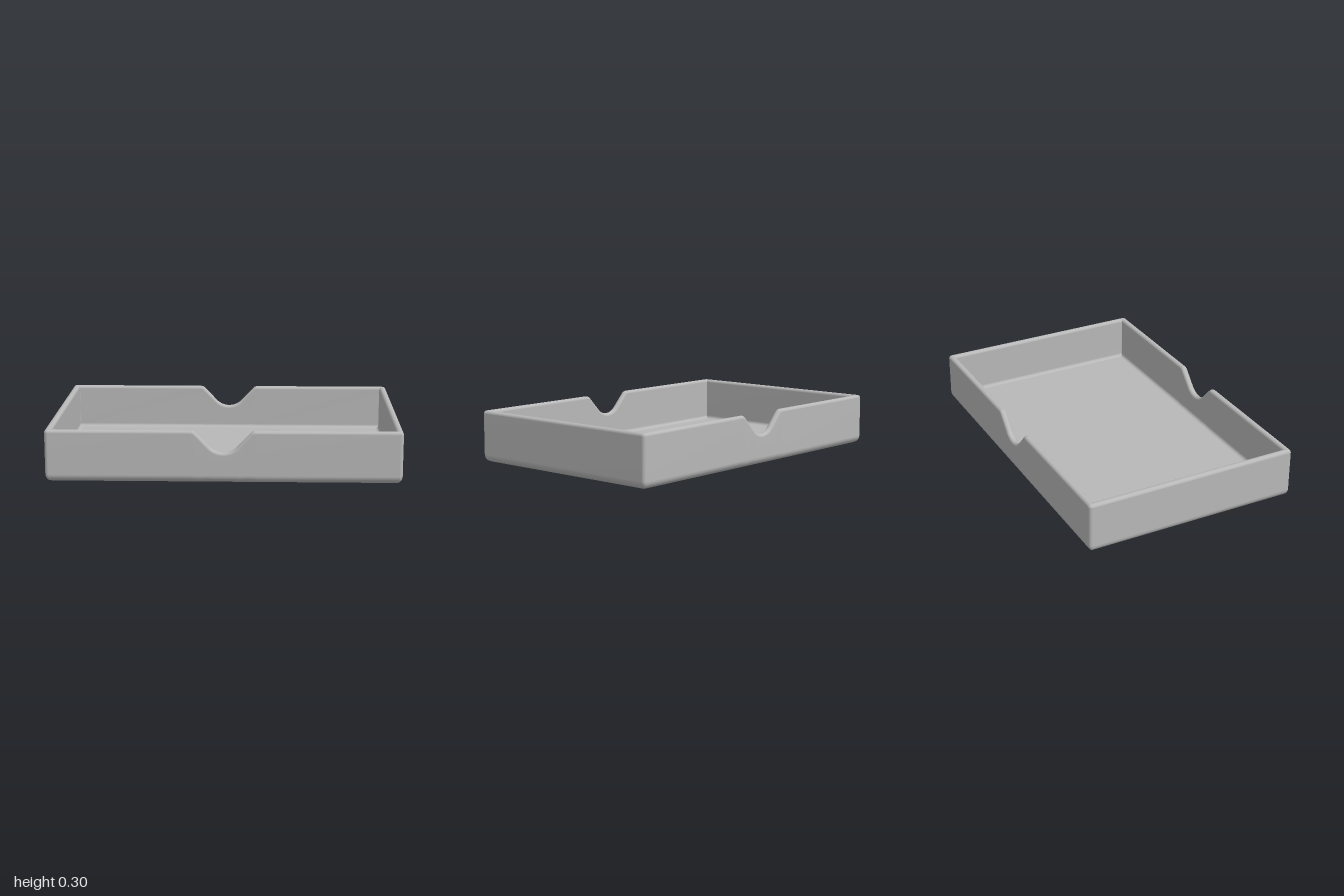
import * as THREE from 'three';

const HX = 1, HZ = 0.633, H = 0.3;      // half length, half width, height
const WALL = 0.039, FLOOR = 0.036;      // thicknesses
const CORNER = 0.02, BASE = 0.045, RIM = 0.018, INNER = 0.02; // rounding radii

// Right half of the thumb notch, from the centre outwards: point plus normal
function halfNotch() {
  const slope = 0.85, bottom = 0.175, r = 0.109, fillet = 0.04, start = 0.182;
  const pts = [];
  for (let i = 0; i <= 8; i++) {
    const a = slope * i / 8;
    pts.push({ x: r * Math.sin(a), y: bottom + r * (1 - Math.cos(a)), nx: -Math.sin(a), ny: Math.cos(a) });
  }
  for (let i = 5; i >= 0; i--) {
    const a = slope * i / 5;
    pts.push({ x: start - fillet * Math.sin(a), y: H - fillet * (1 - Math.cos(a)), nx: -Math.sin(a), ny: Math.cos(a) });
  }
  return pts;
}

// One loop round the tray: inset d from the outside, either at a fixed
// height or at a given drop below the notched rim
function loop(notch, d, y, drop) {
  const pts = [];
  const r = Math.max(CORNER - d, 0.002);
  const corners = [[1, -1], [-1, -1], [-1, 1], [1, 1]];
  const steps = 6;
  corners.forEach(([sx, sz], k) => {
    for (let i = 0; i <= steps; i++) {
      const a = (k + i / steps) * Math.PI / 2;
      pts.push([
        sx * (HX - d - r) + r * Math.cos(a),
        drop === undefined ? y : H - drop,
        sz * (HZ - d - r) - r * Math.sin(a)
      ]);
    }
    // Notches lie in the middle of the back and front walls
    if (k === 0 || k === 2) {
      const side = k === 0 ? [...notch].reverse() : notch;
      for (const p of side) {
        pts.push(drop === undefined
          ? [p.x, y, sz * (HZ - d)]
          : [p.x - drop * p.nx, p.y - drop * p.ny, sz * (HZ - d)]);
      }
    }
  });
  return pts;
}

function trayGeometry() {
  const half = halfNotch();
  const mirrored = half.slice(1).reverse().map(p => ({ x: -p.x, y: p.y, nx: -p.nx, ny: p.ny }));
  const notch = [...mirrored, ...half];
  const loops = [];
  const arc = (n, fn) => {
    for (let i = 0; i <= n; i++) {
      const a = i / n * Math.PI / 2;
      fn(Math.cos(a), Math.sin(a));
    }
  };
  // Underside edge, outer rim, inner rim, then the fillet down to the floor
  arc(6, (c, s) => loops.push(loop(notch, BASE * (1 - s), BASE * (1 - c))));
  arc(5, (c, s) => loops.push(loop(notch, RIM * (1 - c), 0, RIM * (1 - s))));
  arc(5, (c, s) => loops.push(loop(notch, WALL - RIM * (1 - s), 0, RIM * (1 - c))));
  arc(5, (c, s) => loops.push(loop(notch, WALL + INNER * (1 - c), FLOOR + INNER * (1 - s))));

  const n = loops[0].length;
  const positions = loops.flat(2);
  const index = [];
  for (let j = 0; j < loops.length - 1; j++) {
    for (let i = 0; i < n; i++) {
      const a = j * n + i, b = j * n + (i + 1) % n;
      index.push(a, b, b + n, a, b + n, a + n);
    }
  }
  // Flat underside and floor close the skin
  const under = loops.length * n, floor = under + 1, last = (loops.length - 1) * n;
  positions.push(0, 0, 0, 0, FLOOR, 0);
  for (let i = 0; i < n; i++) {
    const k = (i + 1) % n;
    index.push(under, k, i, floor, last + i, last + k);
  }
  const geometry = new THREE.BufferGeometry();
  geometry.setAttribute('position', new THREE.Float32BufferAttribute(positions, 3));
  geometry.setIndex(index);
  geometry.computeVertexNormals();
  return geometry;
}

export function createModel() {
  const grey = new THREE.MeshStandardMaterial({ color: 0xb8b8b8 });
  grey.name = 'grey';
  const tray = new THREE.Mesh(trayGeometry(), grey);
  tray.name = 'tray';
  const group = new THREE.Group();
  group.name = 'notchedTray';
  group.add(tray);
  return group;
}
